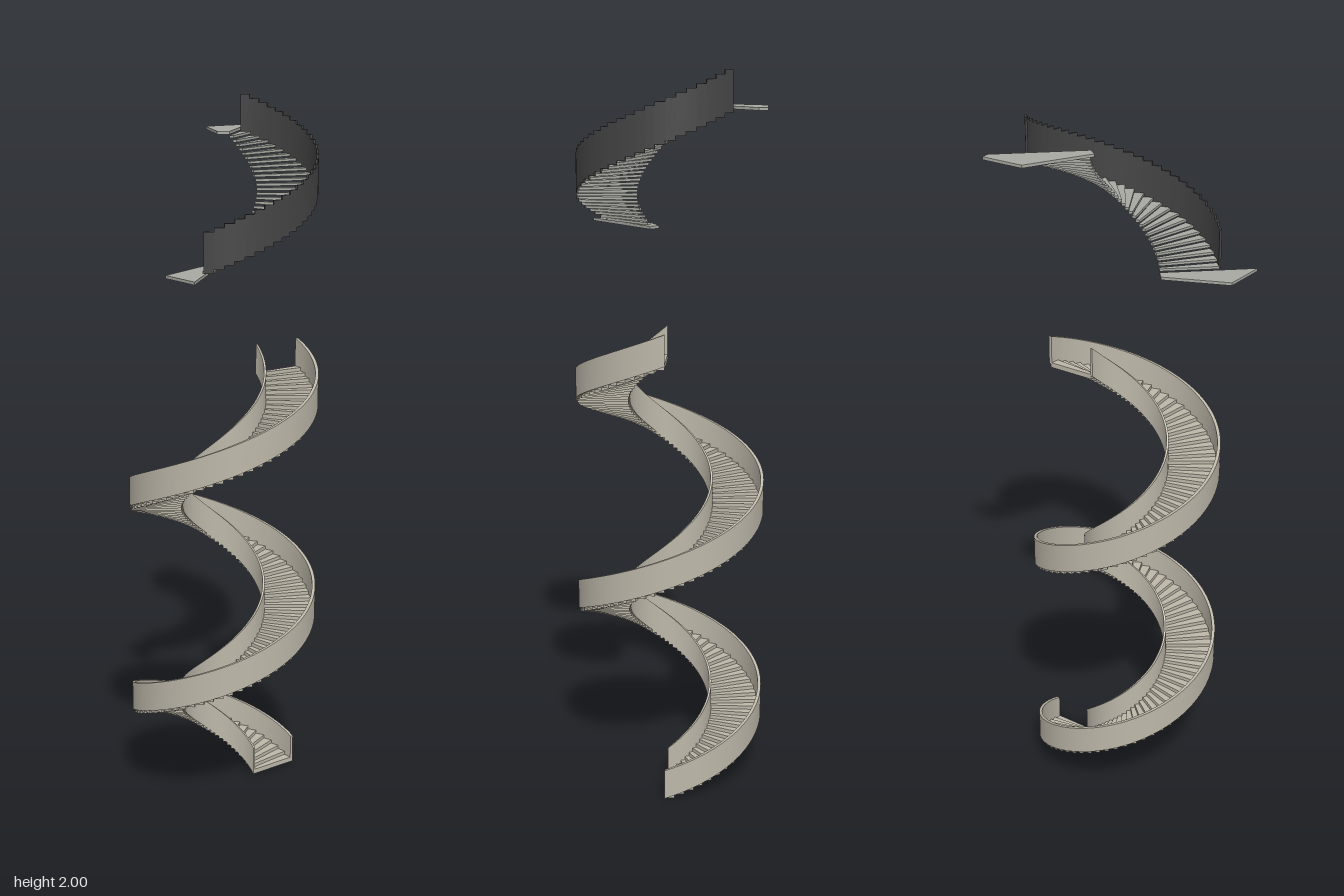
import * as THREE from 'three';
import { toCreasedNormals } from 'three/addons/utils/BufferGeometryUtils.js';

const RAD = Math.PI / 180;

// Rectangular section swept about the y axis; angles in degrees from +z toward +x.
function sweep(r0, r1, a0, a1, segments, bottom, top) {
  const points = [], index = [];
  for (let i = 0; i <= segments; i++) {
    const t = i / segments, a = (a0 + (a1 - a0) * t) * RAD;
    const s = Math.sin(a), c = Math.cos(a), yb = bottom(t), yt = top(t);
    for (const [r, y] of [[r0, yb], [r1, yb], [r1, yt], [r0, yt]]) points.push(r * s, y, r * c);
  }
  for (let i = 0; i < segments; i++) {
    for (let k = 0; k < 4; k++) {
      const a = i * 4 + k, b = i * 4 + (k + 1) % 4, d = a + 4, c = b + 4;
      index.push(a, d, c, a, c, b);
    }
  }
  const e = segments * 4;
  index.push(0, 1, 2, 0, 2, 3, e, e + 2, e + 1, e, e + 3, e + 2);
  const g = new THREE.BufferGeometry();
  g.setAttribute('position', new THREE.Float32BufferAttribute(points, 3));
  g.setIndex(index);
  return toCreasedNormals(g, 0.5);
}

// Flat plate from [x, z] corners.
function plate(corners, y, thickness) {
  const shape = new THREE.Shape(corners.map(([x, z]) => new THREE.Vector2(x, -z)));
  const g = new THREE.ExtrudeGeometry(shape, { depth: thickness, bevelEnabled: false });
  return g.rotateX(-Math.PI / 2).translate(0, y, 0);
}

export function createModel() {
  const model = new THREE.Group();
  const stone = new THREE.MeshStandardMaterial({ color: 0xbdb7a9 });
  const slab = new THREE.MeshStandardMaterial({ color: 0xa8a9a2 });
  const dark = new THREE.MeshStandardMaterial({ color: 0x444444 });
  const add = (parent, name, geometry, material) => {
    const mesh = new THREE.Mesh(geometry, material);
    mesh.name = name;
    parent.add(mesh);
  };

  // Lower staircase: two full turns between an inner and an outer parapet
  const lower = new THREE.Group();
  lower.name = 'lowerStaircase';
  model.add(lower);
  const start = 157.5, steps = 120, stepAngle = 6, height = 1.24, parapet = 0.085;
  const rise = height / steps;
  for (const [name, r0, r1] of [['innerParapet', 0.114, 0.12], ['outerParapet', 0.256, 0.265]]) {
    add(lower, name, sweep(r0, r1, start, start + 720, 240,
      t => height * t, t => height * t + parapet), stone);
  }
  for (let i = 0; i < steps; i++) {
    const a = start + i * stepAngle, y = i * rise;
    add(lower, 'lowerStep', sweep(0.118, 0.26, a, a + stepAngle, 2,
      () => y, () => y + rise * 1.4), stone);
  }

  // Upper staircase: open half turn with a stepped outer balustrade
  const upper = new THREE.Group();
  upper.name = 'upperStaircase';
  model.add(upper);
  for (let i = 0; i < 30; i++) {
    const a = 20 + i * 6, y = 1.568 + 0.011 * (i + 1);
    add(upper, 'upperTread', sweep(0.09, 0.252, a - 0.8, a + 6, 2, () => y - 0.007, () => y), slab);
    add(upper, 'balustradePanel', sweep(0.25, 0.256, a, a + 6, 2,
      () => y - 0.006, () => y + 0.102), dark);
  }

  // Landings at both ends of the upper staircase
  add(upper, 'lowerLanding', plate(
    [[0, 0.095], [0, 0.285], [0.12, 0.335], [0.031, 0.085]], 1.56, 0.008), slab);
  add(upper, 'upperLanding', plate(
    [[-0.031, -0.085], [-0.122, -0.33], [-0.145, -0.338], [-0.192, -0.222], [-0.06, -0.068]],
    1.901, 0.008), slab);
  return model;
}
